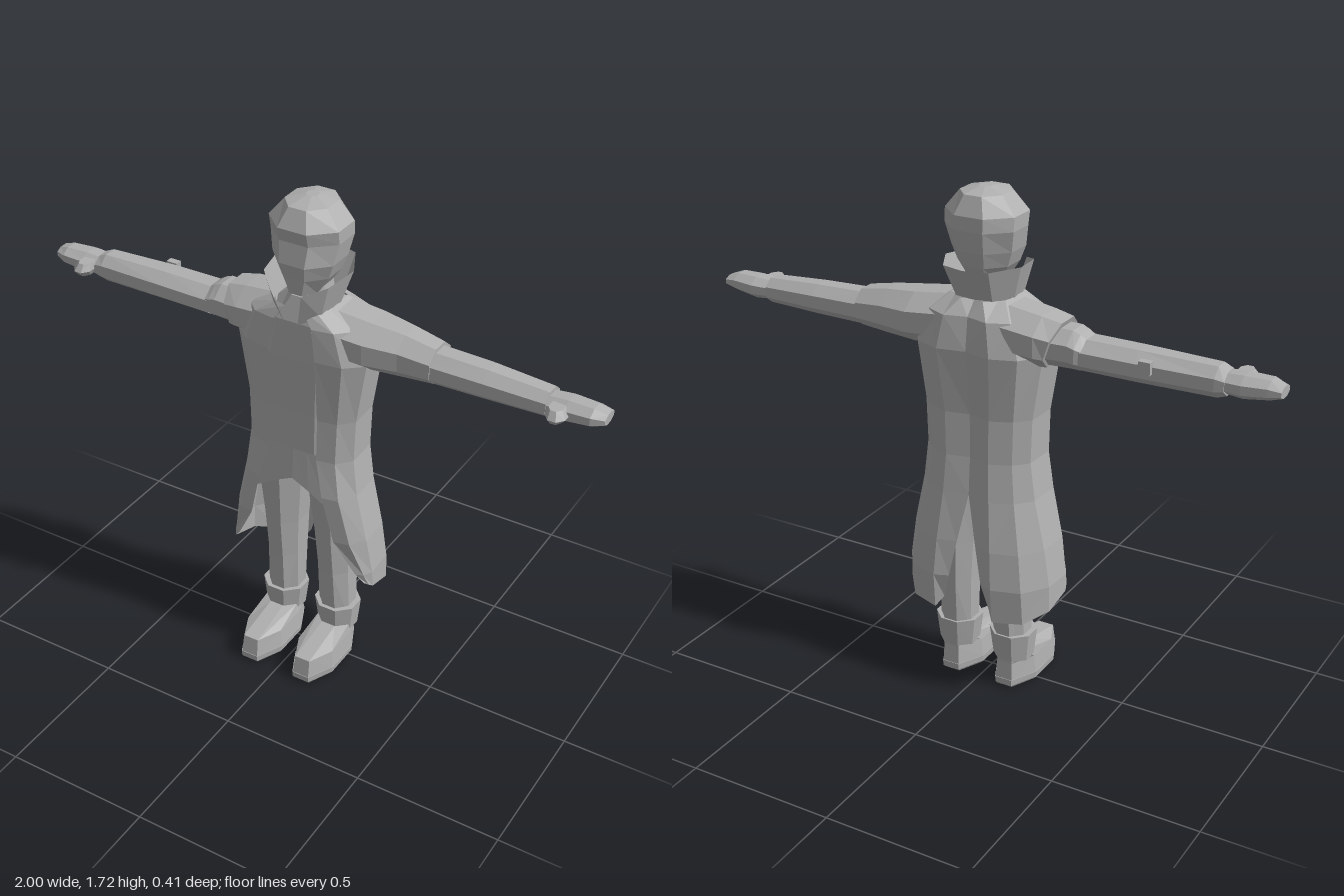
import * as THREE from 'three';

const grey = new THREE.MeshStandardMaterial({ color: 0xb0b0b0, flatShading: true, side: THREE.DoubleSide });
grey.name = 'grey';

// Faceted surface through rows of points; closed rows get end caps.
function grid(rows, caps = false) {
  const pos = [];
  const tri = (a, b, c) => pos.push(...a, ...b, ...c);
  for (let i = 0; i < rows.length - 1; i++) {
    for (let j = 0; j < rows[i].length - 1; j++) {
      const a = rows[i][j], b = rows[i + 1][j], c = rows[i + 1][j + 1], d = rows[i][j + 1];
      tri(a, b, c);
      tri(a, c, d);
    }
  }
  if (caps) {
    [rows[0], rows[rows.length - 1]].forEach((r, k) => {
      const n = r.length - 1;
      const mid = [0, 1, 2].map(q => r.slice(0, n).reduce((s, p) => s + p[q], 0) / n);
      for (let j = 0; j < n; j++) k ? tri(mid, r[j + 1], r[j]) : tri(mid, r[j], r[j + 1]);
    });
  }
  const g = new THREE.BufferGeometry();
  g.setAttribute('position', new THREE.Float32BufferAttribute(pos, 3));
  g.computeVertexNormals();
  return g;
}

// Eight-sided loft. Along y (top to bottom): [y, x0, x1, z0, z1].
// Along x (inside to outside): [x, y0, y1, z0, z1, slant].
function loft(axis, rings, n = 8) {
  return grid(rings.map(([t, a0, a1, b0, b1, slant = 0]) => {
    const ca = (a0 + a1) / 2, cb = (b0 + b1) / 2, k = 1 / Math.cos(Math.PI / n);
    const row = [];
    for (let j = 0; j <= n; j++) {
      const w = ((j % n) + 0.5) / n * Math.PI * 2;
      const c = Math.cos(w) * k, s = Math.sin(w) * k;
      row.push(axis === 'y'
        ? [ca + s * (a1 - a0) / 2, t, cb + c * (b1 - b0) / 2]
        : [t + c * slant, ca + c * (a1 - a0) / 2, cb - s * (b1 - b0) / 2]);
    }
    return row;
  }), true);
}

// Mirror across x, keeping the faces outward.
function mirror(geo) {
  const g = geo.clone().scale(-1, 1, 1), p = g.attributes.position;
  for (let i = 0; i < p.count; i += 3) {
    const b = [p.getX(i + 1), p.getY(i + 1), p.getZ(i + 1)];
    p.setXYZ(i + 1, p.getX(i + 2), p.getY(i + 2), p.getZ(i + 2));
    p.setXYZ(i + 2, ...b);
  }
  g.computeVertexNormals();
  return g;
}

export function createModel() {
  const model = new THREE.Group();
  model.name = 'figureInLongCoat';
  const add = (name, geo) => {
    const m = new THREE.Mesh(geo, grey);
    m.name = name;
    model.add(m);
  };
  const pair = (name, geo) => {
    add('left' + name, geo);
    add('right' + name, mirror(geo));
  };

  // Head and neck
  add('head', loft('y', [
    [1.72, -0.02, 0.02, -0.06, -0.02],
    [1.705, -0.075, 0.075, -0.12, 0.05],
    [1.645, -0.123, 0.123, -0.148, 0.083],
    [1.6, -0.122, 0.122, -0.15, 0.072],
    [1.53, -0.108, 0.108, -0.135, 0.085],
    [1.48, -0.09, 0.09, -0.12, 0.072],
    [1.42, -0.05, 0.05, -0.09, 0.06],
  ]));
  add('neck', loft('y', [[1.47, -0.06, 0.06, -0.1, 0.03], [1.34, -0.075, 0.075, -0.11, 0.06]]));

  // Shirt with an arched front hem
  add('shirt', loft('y', [
    [1.41, -0.05, 0.05, -0.08, 0.05],
    [1.33, -0.15, 0.15, -0.14, 0.075],
    [1.2, -0.2, 0.2, -0.15, 0.08],
    [1.0, -0.18, 0.18, -0.14, 0.07],
    [0.85, -0.18, 0.18, -0.14, 0.073],
    [0.74, -0.18, 0.18, -0.13, 0.075],
  ]));
  add('shirtHem', grid([
    [[-0.1, 0.86, 0.073], [-0.05, 0.86, 0.076], [0, 0.86, 0.078], [0.05, 0.86, 0.076], [0.1, 0.86, 0.073]],
    [[-0.14, 0.67, 0.085], [-0.06, 0.72, 0.088], [0, 0.75, 0.088], [0.06, 0.72, 0.088], [0.14, 0.67, 0.085]],
  ]));

  // Long coat, open in front and split at the back: [y, frontEdge, halfWidth, zFront, zBack, backGap]
  const coatRows = [
    [1.378, 0.03, 0.1, 0.07, -0.13, 0],
    [1.33, 0.07, 0.19, 0.085, -0.175, 0],
    [1.22, 0.085, 0.235, 0.09, -0.19, 0],
    [1.0, 0.09, 0.2, 0.08, -0.165, 0],
    [0.85, 0.09, 0.195, 0.085, -0.165, 0],
    [0.72, 0.12, 0.212, 0.1, -0.175, 0],
    [0.55, 0.16, 0.25, 0.09, -0.195, 0.035],
    [0.42, 0.23, 0.27, 0.06, -0.205, 0.06],
    [0.3, 0.255, 0.272, 0.045, -0.195, 0.085],
  ];
  const hem = [0.385, 0.375, 0.36, 0.33, 0.3, 0.295, 0.33];
  pair('CoatSide', grid(coatRows.map(([y, e, w, zf, zb, gap], i) => [
    [e, zf], [e + (w - e) * 0.6, zf - 0.012], [w, zf * 0.3], [w * 0.98, -0.09],
    [w * 0.76, zb + 0.03], [w * 0.4, zb], [gap, zb + 0.02],
  ].map(([x, z], j) => [x, i === coatRows.length - 1 ? hem[j] : y, z]))));

  // Flared standing collar
  pair('Collar', grid([
    [[0.055, 1.455, 0.12], [0.115, 1.475, 0.06], [0.135, 1.485, -0.06], [0.08, 1.487, -0.165], [0, 1.487, -0.185]],
    [[0.025, 1.335, 0.09], [0.085, 1.36, 0.05], [0.1, 1.37, -0.04], [0.065, 1.378, -0.115], [0, 1.378, -0.125]],
  ]));

  // Shoulders: a short sleeve on the left, a cut-off one on the right
  const yoke = [[0.07, 1.2, 1.375, -0.16, 0.07], [0.23, 1.19, 1.355, -0.16, 0.055]];
  add('leftShoulder', loft('x', [...yoke, [0.34, 1.193, 1.342, -0.135, 0.03], [0.445, 1.2, 1.322, -0.122, 0.02]]));
  add('rightShoulder', mirror(loft('x', [...yoke, [0.27, 1.19, 1.342, -0.148, 0.045, 0.025]])));

  // Arms
  add('leftArm', loft('x', [
    [0.4, 1.2, 1.312, -0.115, 0.017],
    [0.62, 1.203, 1.305, -0.112, 0.012],
    [0.82, 1.207, 1.292, -0.1, 0.003],
  ]));
  add('rightUpperSleeve', mirror(loft('x', [
    [0.22, 1.197, 1.325, -0.135, 0.03],
    [0.33, 1.2, 1.325, -0.13, 0.025],
    [0.355, 1.2, 1.315, -0.13, 0.022],
    [0.38, 1.205, 1.3, -0.12, 0.015],
  ])));
  add('rightArm', mirror(loft('x', [
    [0.36, 1.2, 1.303, -0.125, 0.02],
    [0.55, 1.2, 1.303, -0.122, 0.015],
    [0.8, 1.2, 1.298, -0.105, 0.005],
    [0.83, 1.21, 1.285, -0.1, 0],
  ])));
  const buckle = new THREE.BoxGeometry(0.04, 0.04, 0.025);
  add('armBuckle', buckle.translate(-0.59, 1.27, -0.121));

  // Hands and thumbs
  pair('Hand', loft('x', [
    [0.81, 1.217, 1.28, -0.095, 0],
    [0.88, 1.212, 1.285, -0.102, 0.005],
    [0.96, 1.222, 1.283, -0.092, 0.003],
    [1.0, 1.235, 1.27, -0.085, -0.015],
  ]));
  pair('Thumb', loft('y', [
    [1.275, 0.835, 0.88, -0.03, 0.035],
    [1.25, 0.83, 0.895, -0.03, 0.052],
    [1.23, 0.84, 0.88, -0.03, 0.035],
  ]));

  // Trouser legs
  pair('Leg', loft('y', [
    [0.8, 0.0, 0.18, -0.13, 0.07],
    [0.7, 0.012, 0.18, -0.13, 0.07],
    [0.5, 0.032, 0.165, -0.125, 0.048],
    [0.35, 0.04, 0.16, -0.12, 0.03],
    [0.15, 0.045, 0.162, -0.105, 0.015],
  ]));

  // Boots
  pair('BootShaft', loft('y', [
    [0.2, 0.03, 0.18, -0.115, 0.032],
    [0.1, 0.042, 0.17, -0.103, 0.02],
  ]));
  pair('BootFoot', loft('y', [
    [0.125, 0.045, 0.167, -0.1, 0.025],
    [0.092, 0.037, 0.172, -0.102, 0.195],
    [0.03, 0.03, 0.178, -0.107, 0.207],
  ]));
  pair('BootSole', loft('y', [
    [0.03, 0.028, 0.18, -0.109, 0.209],
    [0.008, 0.03, 0.178, -0.107, 0.207],
    [0, 0.035, 0.173, -0.1, 0.2],
  ]));
  return model;
}
